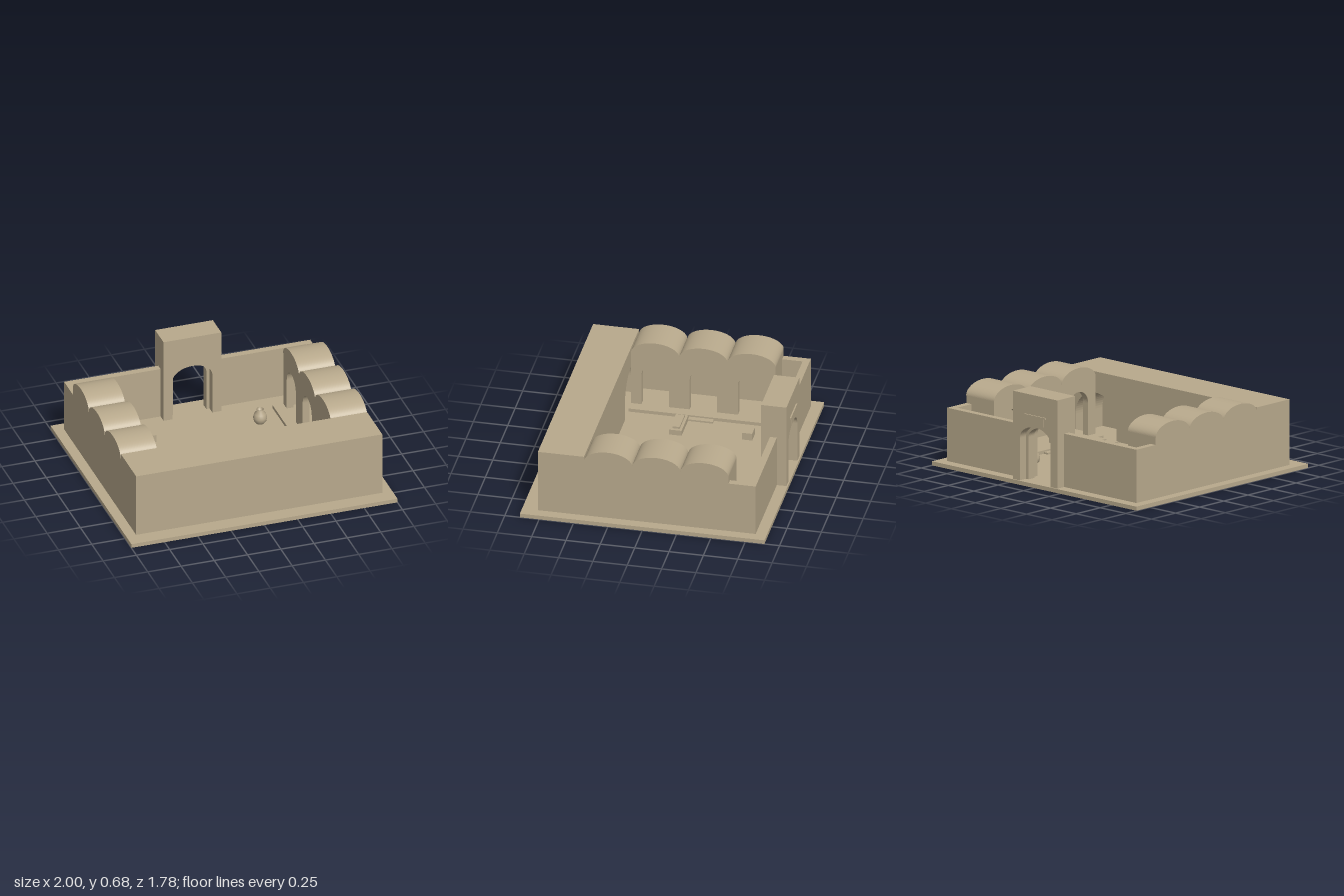
import * as THREE from 'three';

const sandstone = new THREE.MeshStandardMaterial({ color: 0xb8a98c });
sandstone.name = 'sandstone';
const GROUND = 0.03;

export function createModel() {
  const group = new THREE.Group();
  group.name = 'courtyardBuilding';

  const add = (name, geometry, x = 0, y = 0, z = 0) => {
    const mesh = new THREE.Mesh(geometry, sandstone);
    mesh.name = name;
    mesh.position.set(x, y, z);
    group.add(mesh);
    return mesh;
  };

  // Box given by its limits on each axis
  const block = (name, x0, x1, y0, y1, z0, z1) =>
    add(name, new THREE.BoxGeometry(x1 - x0, y1 - y0, z1 - z0),
      (x0 + x1) / 2, (y0 + y1) / 2, (z0 + z1) / 2);

  // Same box on both sides of the courtyard
  const pair = (name, x0, x1, y0, y1, z0, z1) => {
    block(name + 'Left', x0, x1, y0, y1, z0, z1);
    block(name + 'Right', -x1, -x0, y0, y1, z0, z1);
  };

  // Wall from a to b with arched openings that reach the floor
  const arcade = (a, b, top, bottom, depth, centres, half, spring, rise) => {
    const s = new THREE.Shape();
    s.moveTo(a, bottom);
    for (const c of centres) {
      s.lineTo(c - half, bottom);
      s.lineTo(c - half, spring);
      s.absellipse(c, spring, half, rise, Math.PI, 0, true);
      s.lineTo(c + half, bottom);
    }
    s.lineTo(b, bottom);
    s.lineTo(b, top);
    s.lineTo(a, top);
    s.closePath();
    return new THREE.ExtrudeGeometry(s, { depth, bevelEnabled: false, curveSegments: 16 });
  };

  // Ground slab and low enclosing walls
  block('groundSlab', -1, 1, 0, GROUND, -0.89, 0.89);
  pair('sideWall', 0.875, 0.925, GROUND, 0.42, -0.81, 0.44);
  pair('backWall', 0.215, 0.875, GROUND, 0.42, -0.81, -0.76);

  // Front hall with an arched chamber at each end
  block('frontWall', -0.925, 0.925, GROUND, 0.51, 0.72, 0.775);
  add('frontHall', arcade(-0.925, 0.925, 0.51, GROUND, 0.28, [-0.65, 0.65], 0.2, 0.17, 0.185), 0, 0, 0.44);

  // Side galleries: plinth, step, end wall and roof
  pair('galleryPlinth', 0.575, 0.9, GROUND, 0.055, -0.615, 0.44);
  pair('galleryStep', 0.535, 0.575, GROUND, 0.043, -0.18, 0);
  pair('galleryEndWall', 0.655, 0.925, 0.055, 0.47, -0.612, -0.57);
  pair('galleryRoof', 0.655, 0.925, 0.42, 0.475, -0.612, 0.44);

  const bays = [-0.437, -0.086, 0.265];
  const facade = arcade(-0.612, 0.44, 0.475, 0.055, 0.05, bays, 0.1, 0.29, 0.1);
  facade.rotateY(-Math.PI / 2);
  add('galleryFacadeLeft', facade, 0.705);
  add('galleryFacadeRight', facade, -0.655);

  // Barrel vaults, one over each bay
  const vaultShape = new THREE.Shape();
  vaultShape.absellipse(0, 0, 0.175, 0.092, 0, Math.PI, false);
  vaultShape.closePath();
  const vault = new THREE.ExtrudeGeometry(vaultShape, { depth: 0.274, bevelEnabled: false, curveSegments: 28 });
  vault.rotateY(-Math.PI / 2);
  for (const z of bays) {
    add('vaultLeft', vault, 0.927, 0.474, z);
    add('vaultRight', vault, -0.653, 0.474, z);
  }

  // Gate tower: three layers, the middle one with a narrower arch
  const gateLayers = [
    [-0.88, 0.065, 0.15, 0.1],
    [-0.815, 0.06, 0.125, 0.08],
    [-0.755, 0.06, 0.15, 0.1],
  ];
  for (const [z, depth, half, rise] of gateLayers)
    add('gateLayer', arcade(-0.217, 0.217, 0.675, GROUND, depth, [0], half, 0.34, rise), 0, 0, z);

  // Hanging sign board over the gate
  block('signBracket', -0.105, 0.105, 0.515, 0.528, -0.89, -0.88);
  block('signPlate', -0.085, 0.085, 0.457, 0.515, -0.889, -0.883);

  // Crates in the courtyard
  block('crate', -0.455, -0.36, GROUND, 0.085, -0.505, -0.43);
  block('crate', 0.288, 0.38, GROUND, 0.085, 0.218, 0.29);
  block('crate', 0.405, 0.5, GROUND, 0.085, 0.218, 0.29);

  // Trough with a raised rim
  block('troughBase', -0.545, -0.32, GROUND, 0.07, 0, 0.09);
  block('troughLid', -0.52, -0.345, 0.07, 0.085, 0.02, 0.07);

  // Round jar
  const jarProfile = [[0, 0], [0.03, 0], [0.045, 0.02], [0.05, 0.045], [0.042, 0.075], [0.025, 0.095], [0.027, 0.11], [0.02, 0.11], [0.018, 0.09], [0, 0.085]]
    .map(([r, y]) => new THREE.Vector2(r, y));
  add('jar', new THREE.LatheGeometry(jarProfile, 24), 0.425, GROUND, -0.45);

  return group;
}
